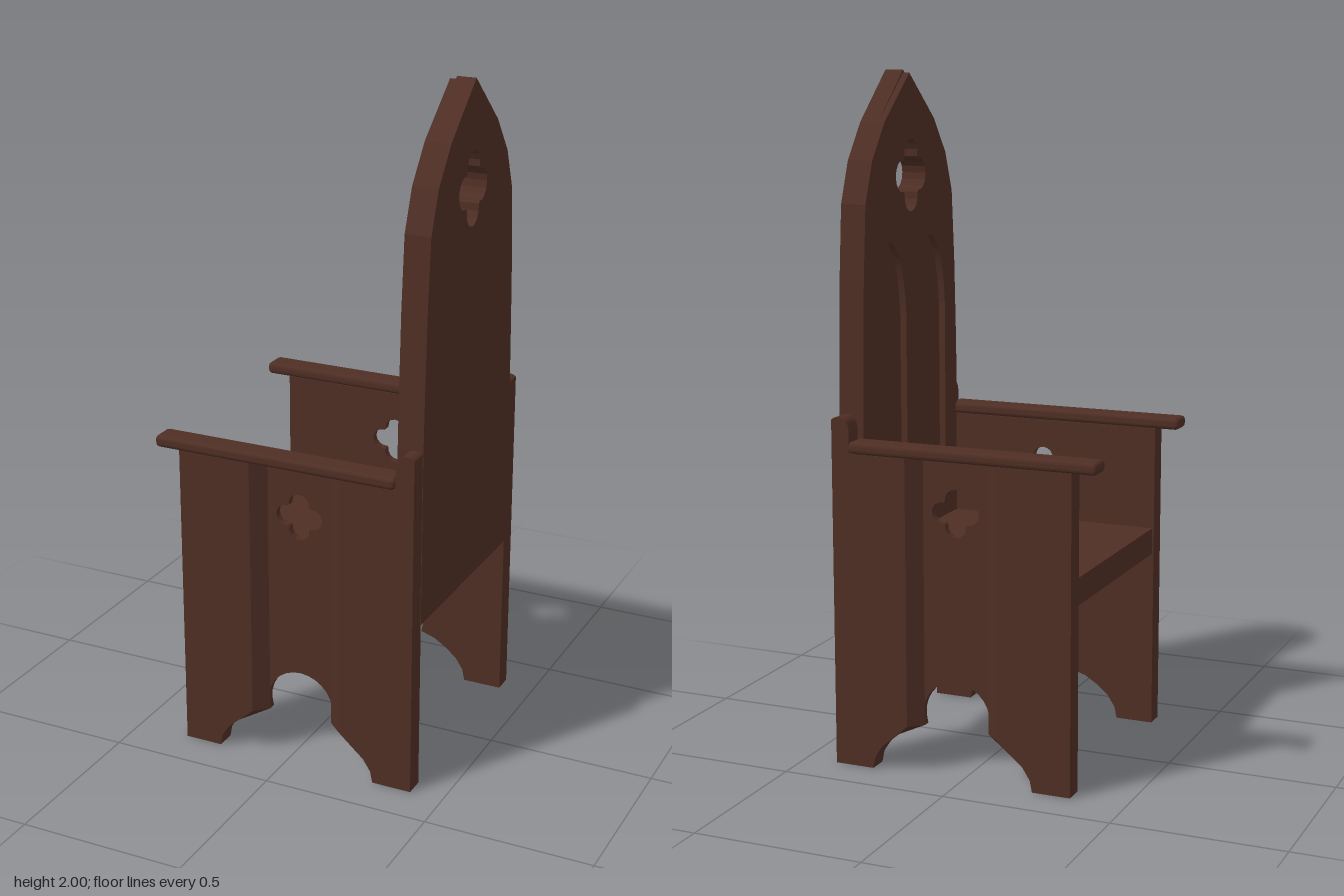
import * as THREE from 'three';
import { RoundedBoxGeometry } from 'three/addons/geometries/RoundedBoxGeometry.js';

const wood = new THREE.MeshStandardMaterial({ color: 0x4e2e24 });
wood.name = 'dark wood';

const CX = 0.03; // middle of the side panels
// right half of the foot arch: quarter curve rising from the foot to the round notch
const scallop = [[0.25, 0], [0.243, 0.035], [0.22, 0.07], [0.185, 0.1], [0.145, 0.125], [0.1, 0.14]];

function polygon(points) {
  return new THREE.Shape(points.map(([x, y]) => new THREE.Vector2(x, y)));
}

function extrude(shape, depth) {
  return new THREE.ExtrudeGeometry(shape, { depth, bevelEnabled: false, curveSegments: 10 });
}

// four-lobed opening
function quatrefoil(cx, cy, rx, ry) {
  const pts = [];
  for (let k = 0; k < 4; k++) {
    const a = k * Math.PI / 2;
    for (let i = 0; i <= 8; i++) {
      const t = a + (i / 8 - 0.5) * Math.PI * 1.1;
      const u = 0.56 * Math.cos(a) + 0.44 * Math.cos(t);
      const v = 0.56 * Math.sin(a) + 0.44 * Math.sin(t);
      pts.push(new THREE.Vector2(cx + rx * u, cy + ry * v));
    }
  }
  return new THREE.Path(pts);
}

// pointed arch opening
function lancet(cz, halfWidth, bottom, top) {
  const p = new THREE.Path();
  const spring = top - halfWidth * 2.2;
  p.moveTo(cz - halfWidth, bottom);
  p.lineTo(cz + halfWidth, bottom);
  p.lineTo(cz + halfWidth, spring);
  p.quadraticCurveTo(cz + halfWidth * 0.85, top - 0.03, cz, top);
  p.quadraticCurveTo(cz - halfWidth * 0.85, top - 0.03, cz - halfWidth, spring);
  return p;
}

// mirror an unindexed geometry across z = 0, keeping faces outward
function mirrorZ(geo) {
  const g = geo.index ? geo.toNonIndexed() : geo.clone();
  g.scale(1, 1, -1);
  const p = g.attributes.position;
  for (let i = 0; i < p.count; i += 3) {
    const a = new THREE.Vector3().fromBufferAttribute(p, i + 1);
    const b = new THREE.Vector3().fromBufferAttribute(p, i + 2);
    p.setXYZ(i + 1, b.x, b.y, b.z);
    p.setXYZ(i + 2, a.x, a.y, a.z);
  }
  g.computeVertexNormals();
  return g;
}

export function createModel() {
  const chair = new THREE.Group();
  chair.name = 'chair';
  const add = (name, geo, parent = chair) => {
    const m = new THREE.Mesh(geo, wood);
    m.name = name;
    parent.add(m);
    return m;
  };
  const box = (name, x0, x1, y0, y1, z0, z1) =>
    add(name, new THREE.BoxGeometry(x1 - x0, y1 - y0, z1 - z0)
      .translate((x0 + x1) / 2, (y0 + y1) / 2, (z0 + z1) / 2));

  // thin side panel with the arched foot and the pierced opening
  const arch = [];
  scallop.forEach(([x, y]) => arch.push([CX - x, y]));
  for (let i = 0; i <= 16; i++) {
    const a = Math.PI * (1.1 - 1.2 * i / 16);
    arch.push([CX + 0.105 * Math.cos(a), 0.175 + 0.105 * Math.sin(a)]);
  }
  [...scallop].reverse().forEach(([x, y]) => arch.push([CX + x, y]));
  const panel = polygon([[-0.335, 0], ...arch, [0.4, 0], [0.4, 0.93], [-0.335, 0.93]]);
  panel.holes.push(quatrefoil(CX, 0.775, 0.073, 0.07));
  const panelGeo = extrude(panel, 0.022).translate(0, 0, 0.316);

  // thick outer stiles, sloped toward the recessed middle
  const stile = (dir, edge) => {
    const leg = scallop.filter(([x]) => x !== 0.145).map(([x, y]) => [CX + dir * x, y]);
    const pts = [[edge, 0], ...leg, [CX + dir * 0.1, 0.93], [edge, 0.93]];
    if (dir > 0) pts.reverse();
    const g = extrude(polygon(pts), 0.037);
    const p = g.attributes.position;
    for (let i = 0; i < p.count; i++) {
      if (p.getZ(i) > 0.01 && Math.abs(p.getX(i) - CX) < 0.101) p.setX(i, CX + dir * 0.14);
    }
    g.computeVertexNormals();
    return g.translate(0, 0, 0.338);
  };
  const frontStile = stile(-1, -0.335);
  const rearStile = stile(1, 0.4);

  // rear post with rounded top
  const postShape = new THREE.Shape();
  postShape.moveTo(0.345, 0.93);
  postShape.lineTo(0.4, 0.93);
  postShape.lineTo(0.4, 1.025);
  postShape.quadraticCurveTo(0.39, 1.035, 0.375, 1.033);
  postShape.quadraticCurveTo(0.347, 1.03, 0.345, 0.995);
  const post = extrude(postShape, 0.059).translate(0, 0, 0.316);

  const arm = new RoundedBoxGeometry(0.755, 0.036, 0.075, 2, 0.013).translate(-0.0325, 0.948, 0.3475);

  for (const [side, fix] of [['left', g => g], ['right', mirrorZ]]) {
    const group = new THREE.Group();
    group.name = side === 'left' ? 'sideA' : 'sideB';
    chair.add(group);
    add('sidePanel', fix(panelGeo), group);
    add('frontStile', fix(frontStile), group);
    add('rearStile', fix(rearStile), group);
    add('rearPost', fix(post), group);
    add('armrest', fix(arm), group);
  }

  // tall pointed back: plain rear slab and a front layer with two lancet recesses
  const half = [[0.32, 0.51], [0.32, 1.03], [0.315, 1.2], [0.306, 1.42], [0.29, 1.63], [0.245, 1.75], [0.165, 1.855]];
  const backShape = apex => {
    const s = polygon([...half, [0, apex], ...[...half].reverse().map(([z, y]) => [-z, y])]);
    s.holes.push(quatrefoil(0.005, 1.695, 0.1, 0.107));
    return s;
  };
  const place = (g, rearX) => g.rotateY(-Math.PI / 2).translate(rearX, 0, 0);
  add('backSlab', place(extrude(backShape(2), 0.057), 0.402));
  const face = backShape(1.992);
  for (const s of [-1, 1]) face.holes.push(lancet(s * 0.135, 0.1, 0.7, 1.51));
  add('backFace', place(extrude(face, 0.02), 0.345));

  // seat and stretcher
  box('seat', -0.33, 0.326, 0.54, 0.62, -0.317, 0.317);
  box('stretcher', -0.02, 0.08, 0.29, 0.37, -0.317, 0.317);

  return chair;
}
